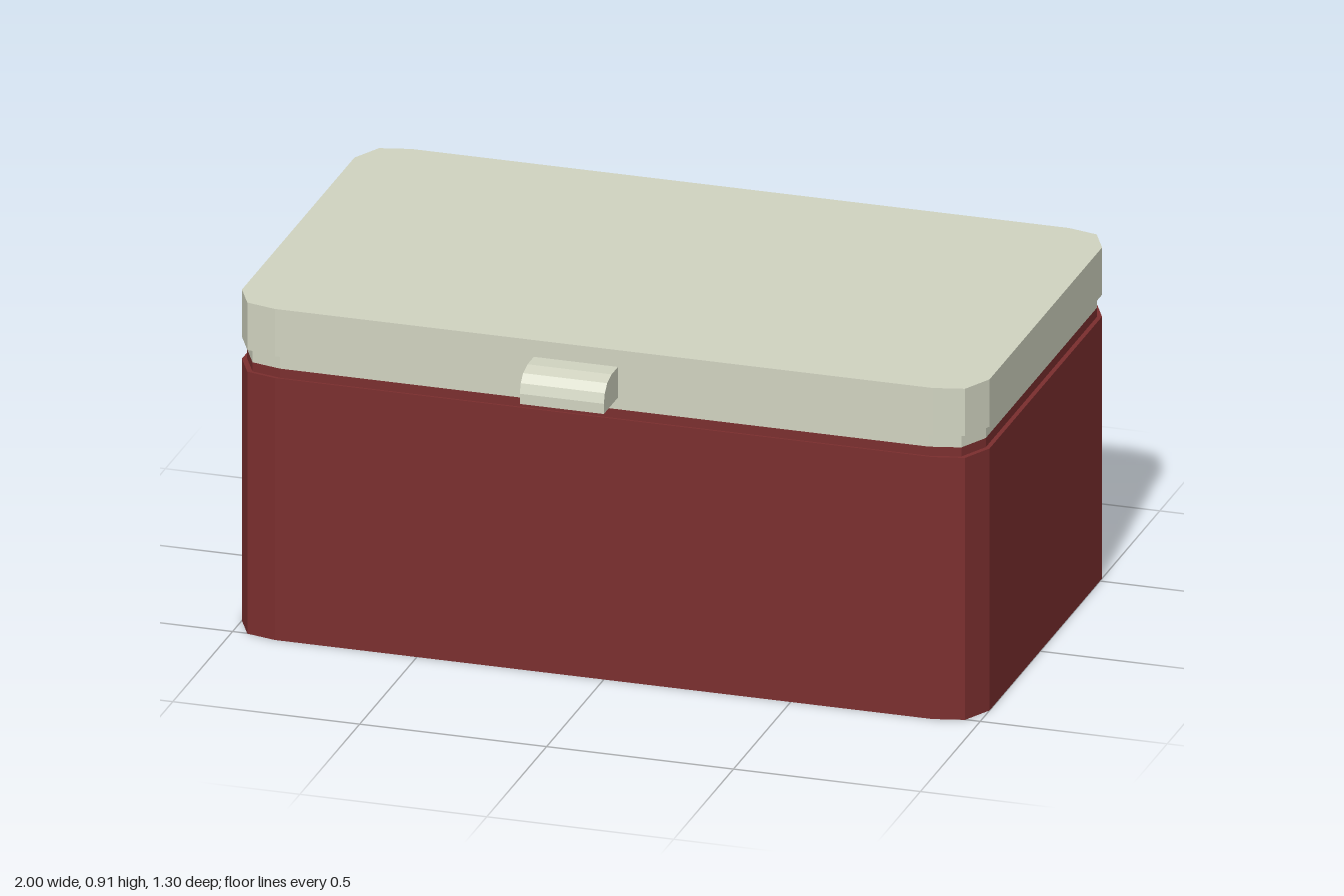
import * as THREE from 'three';

const FRONT = 0.522, BACK = -0.618;

// Rounded-corner footprint, extruded upward from y0 to y1
function slab(y0, y1, inset = 0) {
  const x = 1 - inset, f = FRONT - inset * 0.5, b = BACK + inset * 0.5;
  const right = [[x - 0.12, f], [x - 0.04, f - 0.02], [x, f - 0.1],
    [x, b + 0.1], [x - 0.04, b + 0.02], [x - 0.12, b]];
  const left = right.map(([px, pz]) => [-px, pz]).reverse();
  const shape = new THREE.Shape([...right, ...left].map(([px, pz]) => new THREE.Vector2(px, -pz)));
  const geo = new THREE.ExtrudeGeometry(shape, { depth: y1 - y0, bevelEnabled: false });
  return geo.rotateX(-Math.PI / 2).translate(0, y0, 0);
}

export function createModel() {
  const group = new THREE.Group();
  const red = new THREE.MeshStandardMaterial({ color: 0x7a2e2e });
  red.name = 'dark red';
  const cream = new THREE.MeshStandardMaterial({ color: 0xd0d3c0 });
  cream.name = 'pale grey green';

  const add = (name, geo, mat) => {
    const mesh = new THREE.Mesh(geo, mat);
    mesh.name = name;
    group.add(mesh);
    return mesh;
  };

  // Box body with a slightly recessed lip
  add('body', slab(0, 0.72), red);
  add('bodyLip', slab(0.72, 0.745, 0.012), red);

  // Lid with a recessed rim
  add('lidRim', slab(0.745, 0.78, 0.012), cream);
  add('lid', slab(0.78, 0.91), cream);

  // Front latch: rounded profile in z and y, extruded across x
  const profile = [[0.515, 0.78], [0.64, 0.78], [0.64, 0.808], [0.632, 0.834],
    [0.612, 0.854], [0.575, 0.864], [0.515, 0.864]];
  const latch = new THREE.ExtrudeGeometry(
    new THREE.Shape(profile.map(([z, y]) => new THREE.Vector2(z, y))),
    { depth: 0.225, bevelEnabled: false });
  add('latch', latch.rotateY(-Math.PI / 2).translate(0.038, 0, 0), cream);

  // Two hinge barrels along the back edge
  for (const [name, x] of [['rightHinge', -0.498], ['leftHinge', 0.492]]) {
    const barrel = new THREE.CylinderGeometry(0.014, 0.014, 0.14, 8).toNonIndexed();
    barrel.rotateX(Math.PI / 8);
    barrel.rotateZ(Math.PI / 2);
    barrel.computeVertexNormals();
    add(name, barrel, cream).position.set(x, 0.745, -0.625);
  }
  return group;
}
